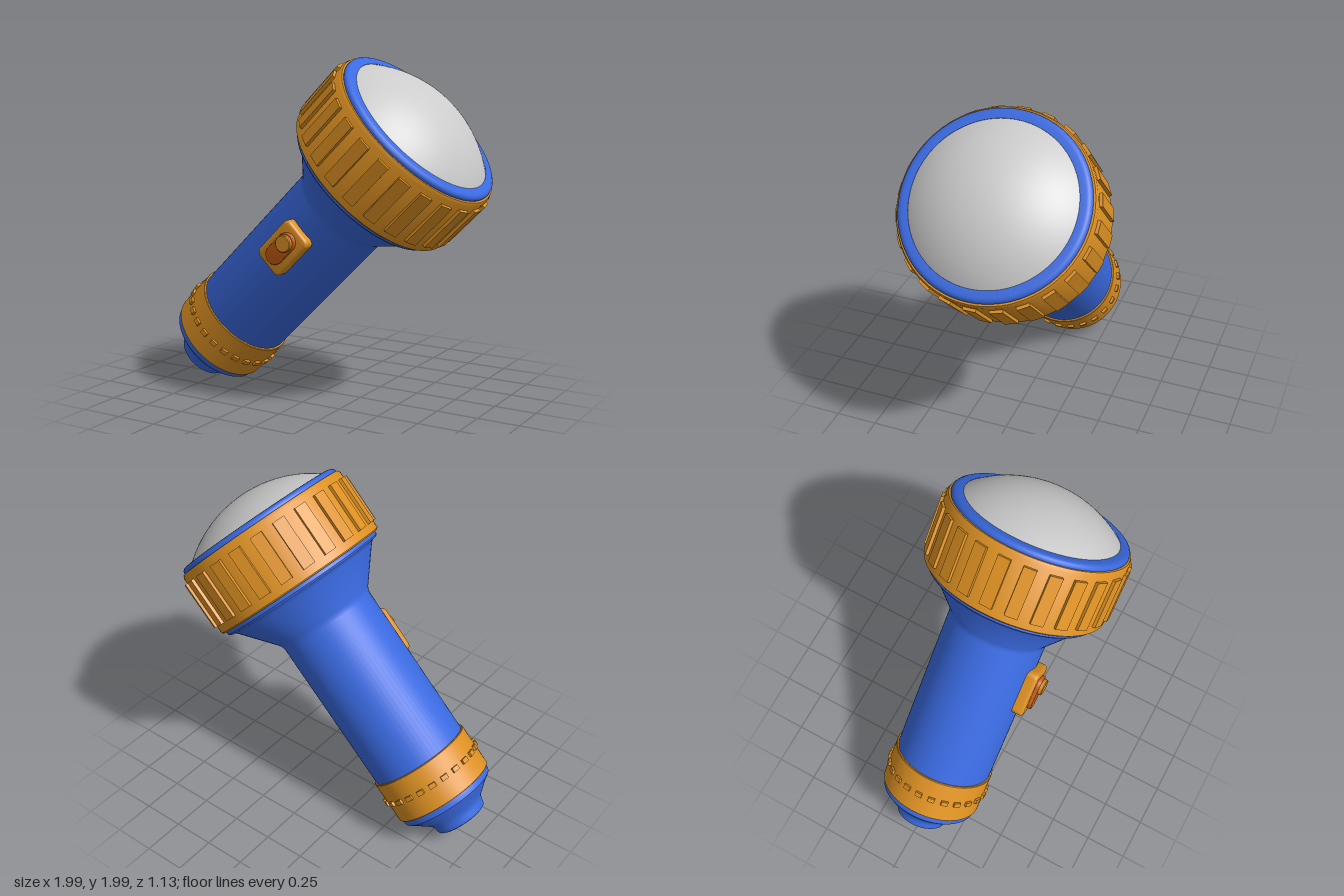
import * as THREE from 'three';
import { toCreasedNormals } from 'three/addons/utils/BufferGeometryUtils.js';

const blue = new THREE.MeshStandardMaterial({ color: 0x3a6ae0 });
const orange = new THREE.MeshStandardMaterial({ color: 0xdc9022 });
const darkOrange = new THREE.MeshStandardMaterial({ color: 0xc05a10 });
const grey = new THREE.MeshStandardMaterial({ color: 0xcccccc });

function add(parent, name, geometry, material, x = 0, y = 0, z = 0) {
  const mesh = new THREE.Mesh(geometry, material);
  mesh.name = name;
  mesh.position.set(x, y, z);
  parent.add(mesh);
  return mesh;
}

// Turned part from [radius, height] pairs, listed bottom to top on the outside
function turned(profile, crease = 0.6) {
  const points = profile.map(([r, y]) => new THREE.Vector2(r, y));
  return toCreasedNormals(new THREE.LatheGeometry(points, 72), crease);
}

// Rounded slab centred on x and y, from z = 0 to z = depth, with a bevelled face
function slab(w, h, radius, depth, bevel) {
  const x = w / 2 - bevel, y = h / 2 - bevel, r = radius - bevel;
  const shape = new THREE.Shape();
  shape.absarc(x - r, y - r, r, 0, Math.PI / 2);
  shape.absarc(-x + r, y - r, r, Math.PI / 2, Math.PI);
  shape.absarc(-x + r, -y + r, r, Math.PI, Math.PI * 1.5);
  shape.absarc(x - r, -y + r, r, Math.PI * 1.5, Math.PI * 2);
  const geometry = new THREE.ExtrudeGeometry(shape, {
    depth: depth - 2 * bevel, bevelSize: bevel, bevelThickness: bevel, bevelSegments: 4, curveSegments: 12,
  });
  geometry.translate(0, 0, bevel);
  return toCreasedNormals(geometry, 0.7);
}

// Ring of equal boxes around the torch axis
function boxRing(parent, name, count, radius, y, size) {
  const ring = new THREE.Group();
  ring.name = name;
  const geometry = new THREE.BoxGeometry(...size);
  for (let i = 0; i < count; i++) {
    const a = (i / count) * Math.PI * 2;
    const box = add(ring, name + 'Piece', geometry, orange, Math.sin(a) * radius, y, Math.cos(a) * radius);
    box.rotation.y = a;
  }
  parent.add(ring);
}

export function createModel() {
  const model = new THREE.Group();
  model.name = 'flashlight';

  // Everything is built upright along y, then leaned over by 45 degrees
  const torch = new THREE.Group();
  torch.name = 'torch';
  torch.rotation.z = -Math.PI / 4;
  torch.position.set(-0.5025, 0.5025, 0);
  model.add(torch);

  // Tail cap, tube and flared head in one turned body
  add(torch, 'body', turned([
    [0, -0.543], [0.15, -0.543], [0.16, -0.538], [0.165, -0.525], [0.168, -0.505], [0.178, -0.48],
    [0.2, -0.46], [0.265, -0.405], [0.285, -0.392], [0.297, -0.38], [0.3, -0.36],
    [0.3, 0.88], [0.303, 0.9], [0.312, 0.92], [0.47, 1.115], [0.485, 1.13],
    [0.515, 1.137], [0.524, 1.147], [0.524, 1.16], [0.515, 1.18],
  ]), blue);

  // Tail band with small studs
  add(torch, 'tailBand', turned([
    [0.29, -0.342], [0.309, -0.342], [0.312, -0.338], [0.312, -0.082], [0.309, -0.078], [0.29, -0.078],
  ]), orange);
  boxRing(torch, 'tailStuds', 24, 0.314, -0.207, [0.042, 0.028, 0.026]);

  // Head ring with grip ribs
  add(torch, 'headRing', turned([
    [0.48, 1.168], [0.542, 1.168], [0.55, 1.176], [0.55, 1.555], [0.541, 1.573], [0.5, 1.573],
  ]), orange);
  boxRing(torch, 'gripRibs', 24, 0.55, 1.372, [0.075, 0.3, 0.034]);

  // Rim that holds the lens
  add(torch, 'lensRim', turned([
    [0.51, 1.555], [0.526, 1.565], [0.531, 1.58], [0.527, 1.594], [0.515, 1.603],
    [0.5, 1.606], [0.465, 1.606], [0.46, 1.57],
  ], 0.9), blue);

  // Domed lens, a shallow spherical cap
  const baseRadius = 0.47, rise = 0.17;
  const sphere = (baseRadius ** 2 + rise ** 2) / (2 * rise);
  const angle = Math.asin(baseRadius / sphere);
  add(torch, 'lens', new THREE.SphereGeometry(sphere, 72, 20, 0, Math.PI * 2, 0, angle), grey,
    0, 1.6 + rise - sphere, 0);

  // Sliding switch on the front of the tube
  const control = new THREE.Group();
  control.name = 'switch';
  control.position.set(0, 0.607, 0);
  torch.add(control);
  add(control, 'switchPlate', slab(0.2, 0.3, 0.035, 0.092, 0.018), orange, 0, 0, 0.26);
  add(control, 'switchSlider', slab(0.112, 0.225, 0.056, 0.06, 0.006), darkOrange, 0, 0, 0.314);
  const button = add(control, 'switchButton', turned([
    [0.05, 0], [0.05, 0.038], [0.046, 0.043], [0, 0.043],
  ]), orange, 0, 0.05, 0.354);
  button.rotation.x = Math.PI / 2;

  return model;
}
